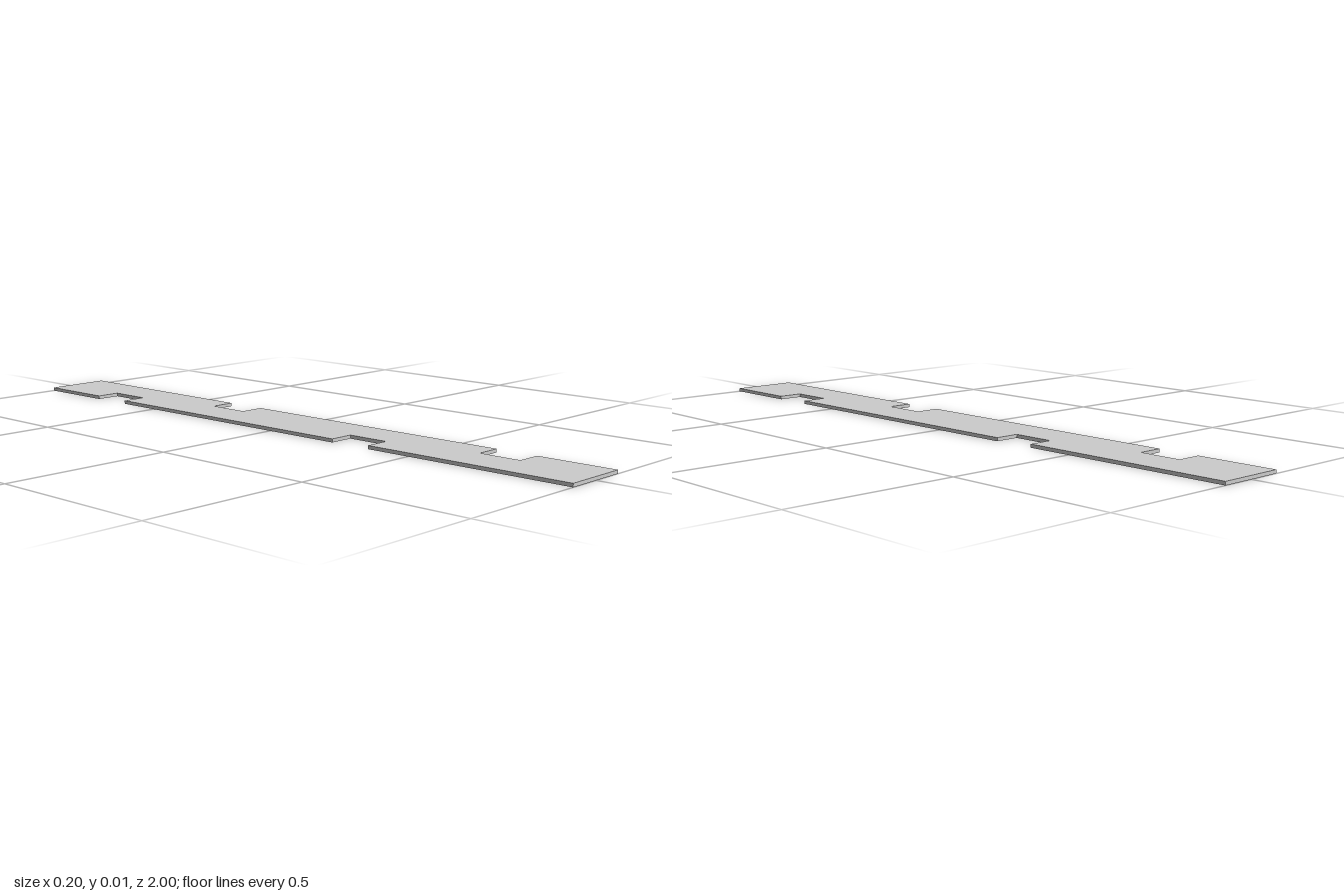
import * as THREE from 'three';

const HALF_WIDTH = 0.1;
const HALF_LENGTH = 1;
const THICKNESS = 0.01;
const NOTCH_FLOOR = 0.026;

// Notch spans along z on the +x edge; the -x edge is the same turned half a revolution
const NOTCHES = [[-0.364, -0.237], [0.637, 0.763]];

export function createModel() {
  const group = new THREE.Group();
  group.name = 'notchedSlat';

  // One long edge, from the back corner to the front corner
  const edge = [[HALF_WIDTH, -HALF_LENGTH]];
  for (const [z0, z1] of NOTCHES) {
    edge.push([HALF_WIDTH, z0], [NOTCH_FLOOR, z0], [NOTCH_FLOOR, z1], [HALF_WIDTH, z1]);
  }
  edge.push([HALF_WIDTH, HALF_LENGTH]);

  // Full outline: the edge plus its half-turn copy
  const outline = [...edge, ...edge.map(([x, z]) => [-x, -z])];
  const shape = new THREE.Shape(outline.map(([x, z]) => new THREE.Vector2(x, -z)));

  // Thin flat board lying on the ground
  const geometry = new THREE.ExtrudeGeometry(shape, { depth: THICKNESS, bevelEnabled: false });
  geometry.rotateX(-Math.PI / 2);

  const board = new THREE.Mesh(geometry, new THREE.MeshStandardMaterial({ color: 0xcccccc }));
  board.name = 'board';
  group.add(board);
  return group;
}
